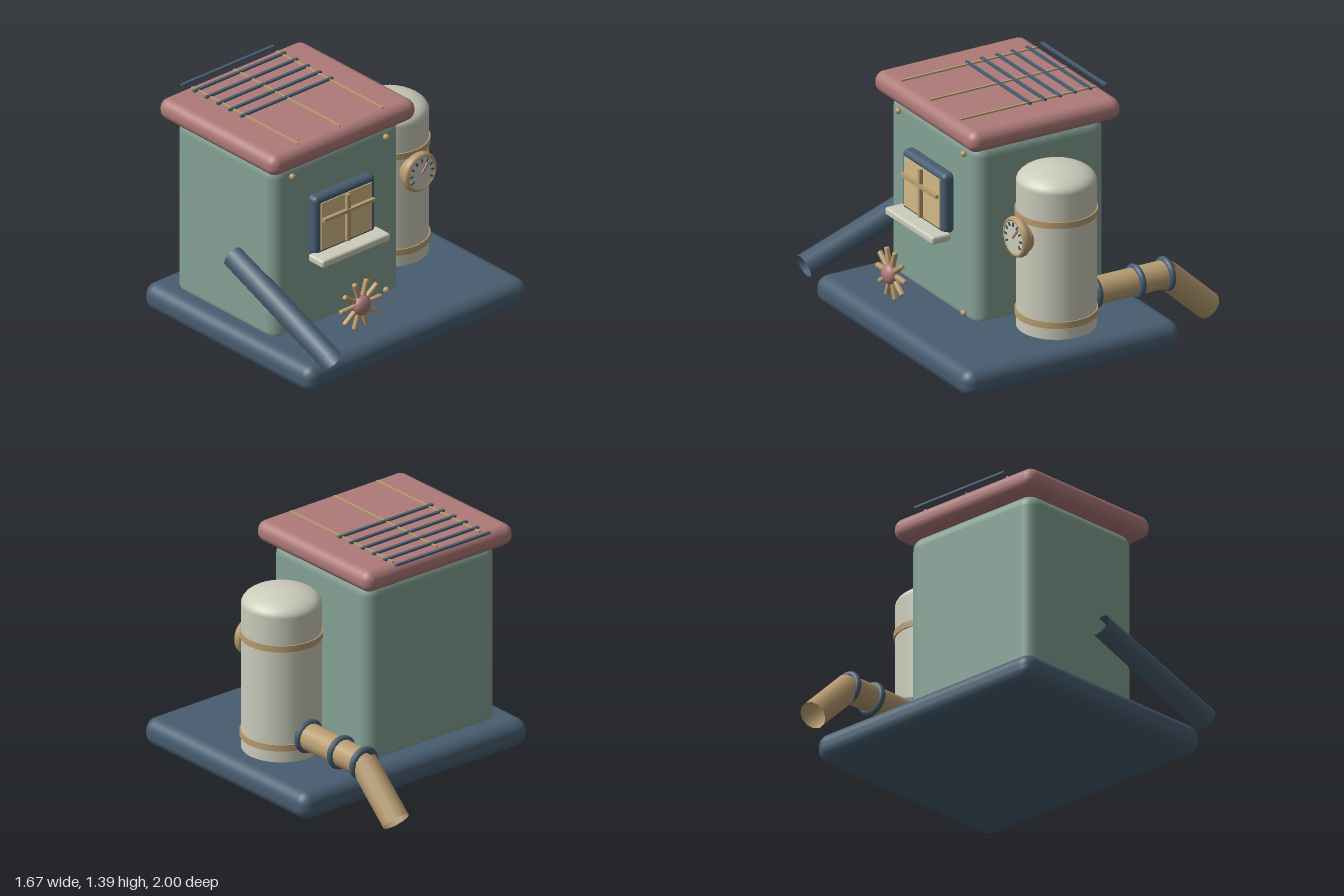
import * as THREE from 'three';
import { RoundedBoxGeometry } from 'three/addons/geometries/RoundedBoxGeometry.js';

const paint = (name, color, side = THREE.FrontSide) => {
  const m = new THREE.MeshStandardMaterial({ color, side });
  m.name = name;
  return m;
};

export function createModel() {
  const navy = paint('slate blue', 0x475d70, THREE.DoubleSide);
  const green = paint('sage green', 0x84a194);
  const red = paint('dusty red', 0xad7a78);
  const cream = paint('cream', 0xcbccbb);
  const tan = paint('brass', 0xb89c70, THREE.DoubleSide);
  const glow = paint('window amber', 0xd3ba88);

  const model = new THREE.Group();
  model.name = 'pumpHouse';

  const add = (name, geometry, material, x = 0, y = 0, z = 0, parent = model) => {
    const mesh = new THREE.Mesh(geometry, material);
    mesh.name = name;
    mesh.position.set(x, y, z);
    parent.add(mesh);
    return mesh;
  };
  const group = (name, x, y, z) => {
    const g = new THREE.Group();
    g.name = name;
    g.position.set(x, y, z);
    model.add(g);
    return g;
  };
  // Rounded block given by its extents on each axis
  const block = (name, material, [x0, x1], [y0, y1], [z0, z1], r) =>
    add(name, new RoundedBoxGeometry(x1 - x0, y1 - y0, z1 - z0, 4, r), material,
      (x0 + x1) / 2, (y0 + y1) / 2, (z0 + z1) / 2);
  // Open pipe between two points
  const pipe = (name, material, from, to, r, sides) => {
    const a = new THREE.Vector3(...from), b = new THREE.Vector3(...to);
    const dir = b.clone().sub(a);
    const mid = a.clone().add(b).multiplyScalar(0.5);
    const mesh = add(name, new THREE.CylinderGeometry(r, r, dir.length(), sides, 1, true),
      material, mid.x, mid.y, mid.z);
    mesh.quaternion.setFromUnitVectors(new THREE.Vector3(0, 1, 0), dir.normalize());
    return mesh;
  };

  // Main masses
  block('base', navy, [-0.84, 0.835], [0.02, 0.19], [-0.56, 0.875], 0.075);
  block('house', green, [-0.72, 0.24], [0.13, 1.27], [-0.415, 0.445], 0.08);
  block('roof', red, [-0.79, 0.305], [1.255, 1.386], [-0.485, 0.515], 0.06);

  // Roof seams and rack bars
  for (const x of [-0.56, -0.243, 0.08])
    add('roofSeam', new THREE.BoxGeometry(0.013, 0.012, 0.9), tan, x, 1.389, 0.01);
  for (let i = 0; i < 6; i++)
    add('roofBar', new THREE.BoxGeometry(0.695, 0.012, 0.018), navy, -0.243, 1.394, 0.008 - i * 0.1);

  // Corner rivets
  for (const x of [-0.597, 0.112])
    for (const y of [0.208, 1.19])
      add('rivet', new THREE.SphereGeometry(0.019, 12, 8), tan, x, y, 0.455);

  // Window
  block('windowFrame', navy, [-0.47, -0.012], [0.65, 1.02], [0.43, 0.51], 0.03);
  add('windowPane', new THREE.BoxGeometry(0.385, 0.3, 0.009), glow, -0.241, 0.832, 0.512);
  add('windowUpright', new THREE.BoxGeometry(0.024, 0.295, 0.022), tan, -0.241, 0.832, 0.527);
  add('windowCrossbar', new THREE.BoxGeometry(0.385, 0.02, 0.022), tan, -0.241, 0.88, 0.533);
  block('windowSill', cream, [-0.5, 0.015], [0.62, 0.668], [0.477, 0.605], 0.015);

  // Valve wheel
  const valve = group('valveWheel', -0.29, 0.355, 0.69);
  for (let i = 0; i < 10; i++) {
    const a = (i / 10) * Math.PI * 2;
    const spoke = add('valveSpoke', new RoundedBoxGeometry(0.13, 0.028, 0.03, 2, 0.01), tan,
      Math.cos(a) * 0.09, Math.sin(a) * 0.09, 0, valve);
    spoke.rotation.z = a;
  }
  add('valveHub', new THREE.SphereGeometry(0.061, 24, 16), red, 0, 0, 0.01, valve).scale.z = 0.7;

  // Tank with a shallow dome and two hoops
  const tank = group('tank', 0.478, 0, 0.065);
  add('tankBody', new THREE.CylinderGeometry(0.229, 0.229, 0.93, 32), cream, 0, 0.615, 0, tank);
  add('tankDome', new THREE.SphereGeometry(0.229, 32, 12, 0, Math.PI * 2, 0, Math.PI / 2),
    cream, 0, 1.08, 0, tank).scale.y = 0.42;
  for (const y of [0.28, 0.895])
    add('tankHoop', new THREE.CylinderGeometry(0.237, 0.237, 0.038, 32), tan, 0, y, 0, tank);

  // Pressure gauge
  const gauge = group('gauge', 0.476, 0.785, 0);
  add('gaugeCase', new THREE.CylinderGeometry(0.1, 0.1, 0.07, 32), tan, 0, 0, 0.295, gauge)
    .rotation.x = Math.PI / 2;
  add('gaugeRim', new THREE.TorusGeometry(0.105, 0.016, 10, 36), tan, 0, 0, 0.325, gauge)
    .scale.z = 1.7;
  add('gaugeFace', new THREE.CylinderGeometry(0.1, 0.1, 0.009, 32), cream, 0, 0, 0.343, gauge)
    .rotation.x = Math.PI / 2;
  for (let i = -4; i <= 4; i++) {
    const a = i * Math.PI / 6;
    add('gaugeTick', new THREE.BoxGeometry(0.011, 0.024, 0.008), navy,
      Math.sin(a) * 0.08, Math.cos(a) * 0.08, 0.35, gauge).rotation.z = -a;
  }
  add('gaugeNeedle', new THREE.BoxGeometry(0.011, 0.085, 0.008), red, 0.027, 0.031, 0.353, gauge)
    .rotation.z = -0.71;

  // Drain pipe with collars
  const px = 0.477;
  pipe('drainPipe', tan, [px, 0.333, -0.12], [px, 0.333, -0.665], 0.082, 16);
  pipe('drainSpout', tan, [px, 0.34, -0.65], [px, 0.07, -0.94], 0.082, 12);
  for (const z of [-0.175, -0.46, -0.656])
    add('drainCollar', new THREE.TorusGeometry(0.082, 0.02, 10, 24), navy, px, 0.333, z);

  // Sloping side chute
  pipe('sideChute', navy, [-0.745, 0.598, 0.125], [-0.768, 0.285, 0.975], 0.071, 10);

  return model;
}
